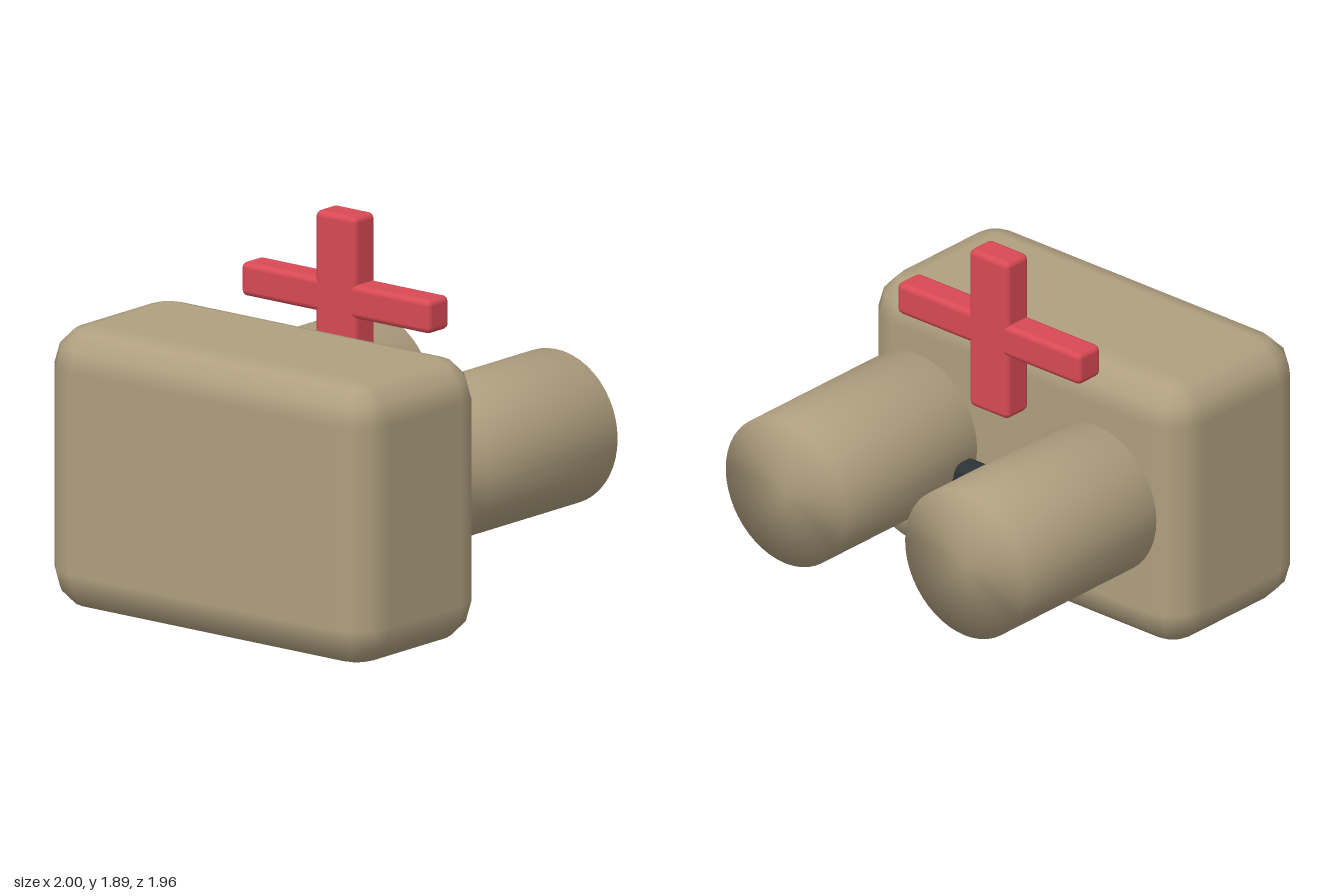
import * as THREE from 'three';
import { ConvexGeometry } from 'three/addons/geometries/ConvexGeometry.js';
import { mergeVertices } from 'three/addons/utils/BufferGeometryUtils.js';

const tan = new THREE.MeshStandardMaterial({ color: 0xb0a080 });
const red = new THREE.MeshStandardMaterial({ color: 0xd94a55 });
const dark = new THREE.MeshStandardMaterial({ color: 0x2c3337 });

// Box from min to max corner with three-segment rounded edges of radius r
function bevelBox(name, min, max, r, material) {
  const lo = new THREE.Vector3(...min), hi = new THREE.Vector3(...max);
  const centre = lo.clone().add(hi).multiplyScalar(0.5);
  const core = hi.clone().sub(lo).multiplyScalar(0.5).subScalar(r);
  const points = [];
  for (const sx of [-1, 1]) for (const sy of [-1, 1]) for (const sz of [-1, 1]) {
    for (let i = 0; i <= 3; i++) for (let j = 0; j <= (i === 3 ? 0 : 3); j++) {
      const a = i * Math.PI / 6, b = j * Math.PI / 6;
      points.push(new THREE.Vector3(
        sx * (core.x + r * Math.cos(a) * Math.cos(b)),
        sy * (core.y + r * Math.sin(a)),
        sz * (core.z + r * Math.cos(a) * Math.sin(b))));
    }
  }
  const geometry = new ConvexGeometry(points);
  // Smooth normals point away from the inner core, so the flat sides stay flat
  const pos = geometry.attributes.position, normal = geometry.attributes.normal;
  const p = new THREE.Vector3(), q = new THREE.Vector3(), back = core.clone().negate();
  for (let i = 0; i < pos.count; i++) {
    p.fromBufferAttribute(pos, i);
    q.copy(p).clamp(back, core);
    p.sub(q).normalize();
    normal.setXYZ(i, p.x, p.y, p.z);
  }
  const mesh = new THREE.Mesh(geometry, material);
  mesh.name = name;
  mesh.position.copy(centre);
  return mesh;
}

// Cylinder along z, with normals shared between wall and ends
function rollGeometry(radius, length) {
  let g = new THREE.CylinderGeometry(radius, radius, length, 48);
  g.rotateX(Math.PI / 2);
  g.deleteAttribute('uv');
  g.deleteAttribute('normal');
  g = mergeVertices(g, 1e-4);
  g.computeVertexNormals();
  return g;
}

export function createModel() {
  const model = new THREE.Group();
  model.name = 'pack';

  // Main block
  model.add(bevelBox('body', [-1, 0, 0.04], [1, 1.39, 0.98], 0.2, tan));

  // Cross standing behind the body
  const cross = new THREE.Group();
  cross.name = 'cross';
  cross.add(bevelBox('crossUpright', [-0.125, 1.065, -0.18], [0.125, 1.895, -0.02], 0.03, red));
  cross.add(bevelBox('crossArm', [-0.58, 1.4, -0.18], [0.58, 1.565, -0.02], 0.03, red));
  model.add(cross);

  // Pair of cylinders pointing backwards
  const roll = rollGeometry(0.377, 0.94);
  for (const side of [-1, 1]) {
    const mesh = new THREE.Mesh(roll, tan);
    mesh.name = side > 0 ? 'leftCylinder' : 'rightCylinder';
    mesh.position.set(side * 0.567, 0.76, -0.51);
    model.add(mesh);
  }

  // Dark bar joining the cylinders
  model.add(bevelBox('connectingBar', [-0.5, 0.46, -0.195], [0.5, 0.73, -0.06], 0.04, dark));

  return model;
}
